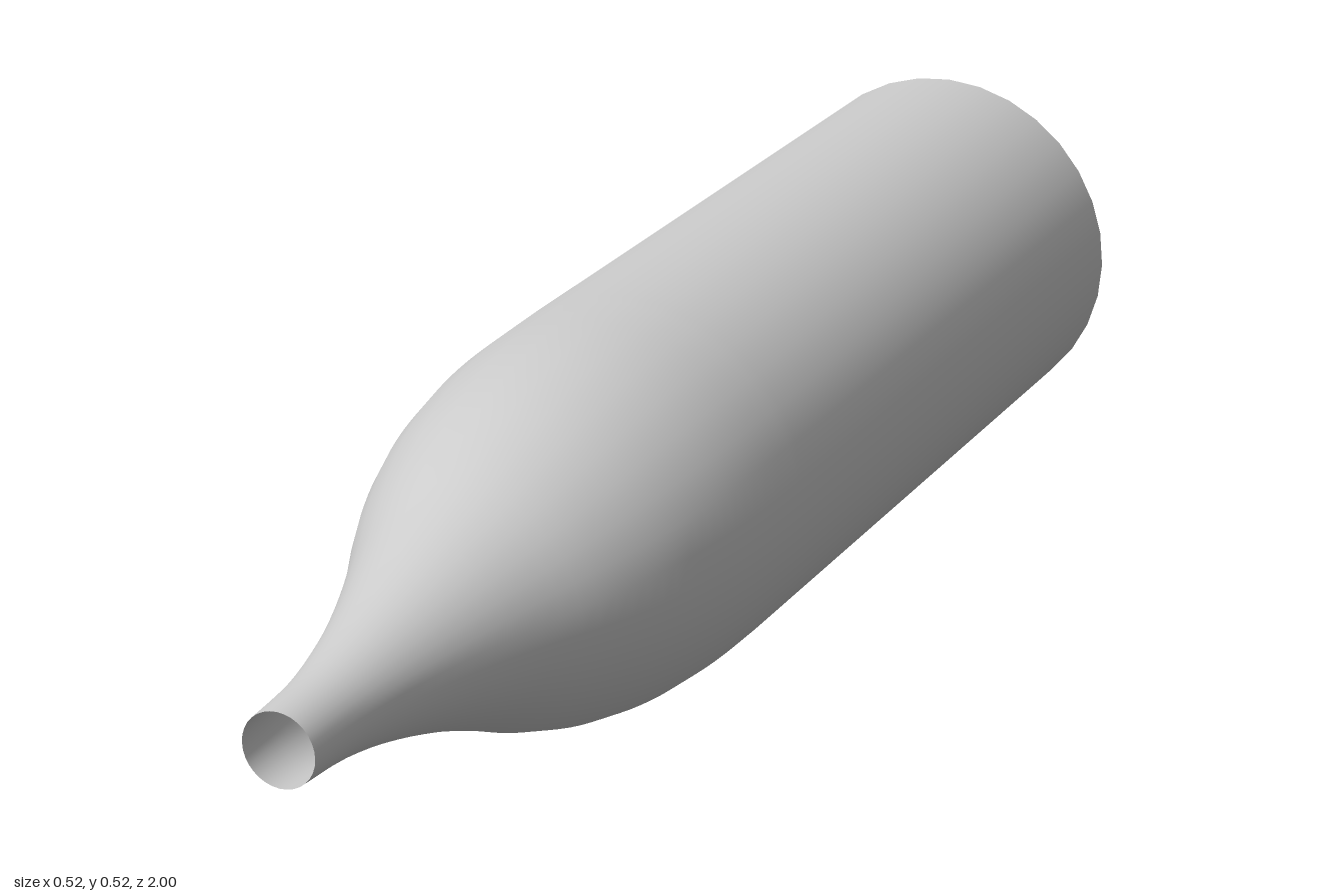
import * as THREE from 'three';

const RADIUS = 0.261;

export function createModel() {
  const group = new THREE.Group();
  const material = new THREE.MeshStandardMaterial({ color: 0xcccccc, side: THREE.DoubleSide });

  // Shoulder and neck: radius against distance along the axis
  const taper = new THREE.SplineCurve([
    [RADIUS, 0.08], [0.258, 0.2], [0.248, 0.3], [0.227, 0.4], [0.192, 0.5],
    [0.146, 0.6], [0.107, 0.7], [0.077, 0.8], [0.057, 0.9], [0.05, 1],
  ].map(([r, z]) => new THREE.Vector2(r, z)));

  // Straight barrel, open at the back, running into the taper
  const profile = [new THREE.Vector2(RADIUS, -1), ...taper.getPoints(36)];
  const geometry = new THREE.LatheGeometry(profile, 32);
  geometry.rotateX(Math.PI / 2); // axis from +y to +z
  geometry.translate(0, RADIUS + 0.001, 0);

  const shell = new THREE.Mesh(geometry, material);
  shell.name = 'taperedTube';
  group.add(shell);
  return group;
}
